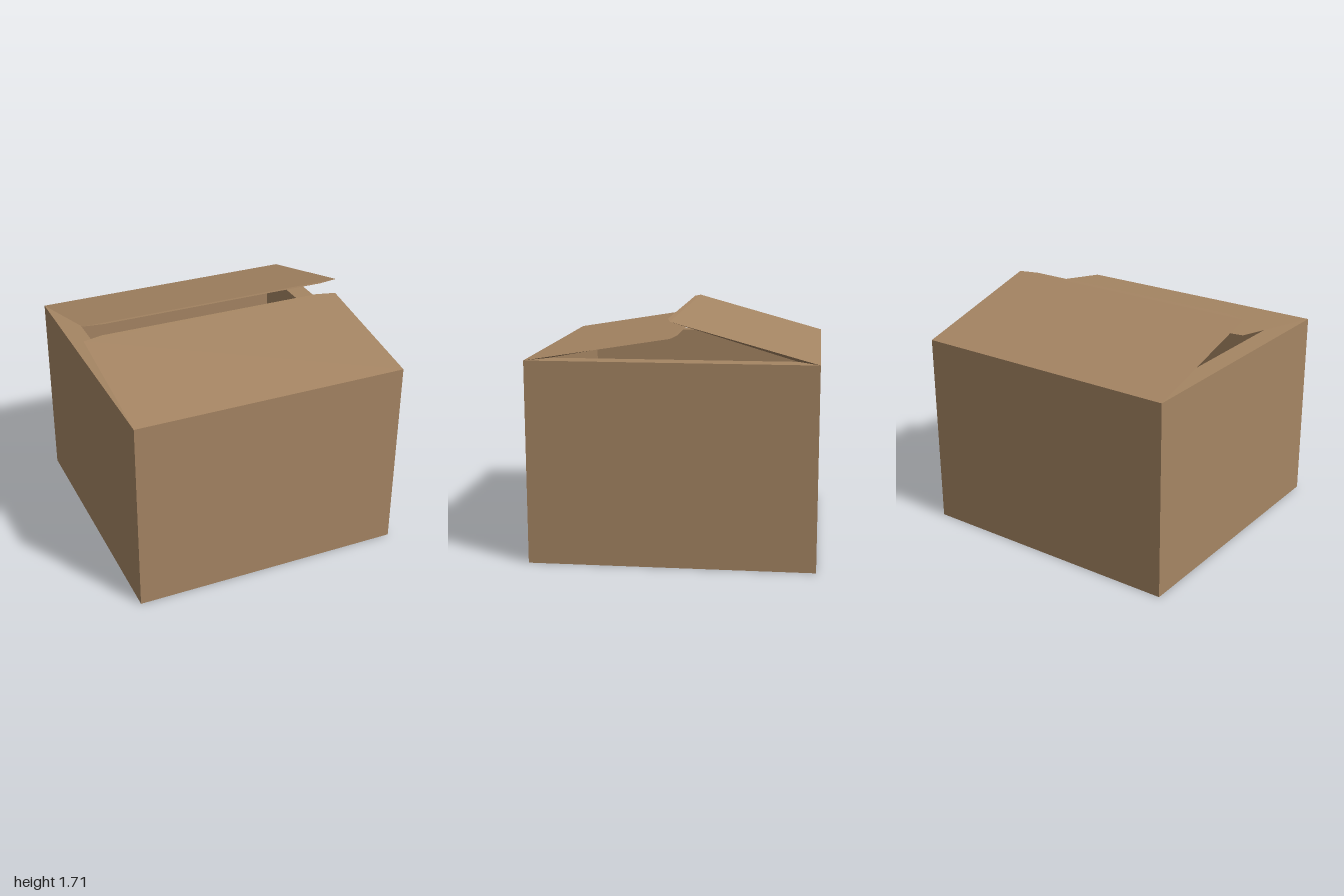
import * as THREE from 'three';

const H = 1.43;      // height of the walls
const INNER = 0.85;  // half width of the opening

// Wedge flap growing from the mitred rim of one wall; side is +1 front, -1 back
function flapGeometry(side, tipY) {
  const outline = [
    [1, H, 1], [INNER, H, INNER],                    // hinge: outer, inner
    [INNER, tipY, -0.03], [1, tipY - 0.004, 0],      // free edge: inner, outer
  ];
  const right = outline.map(([x, y, z]) => [x, y, z * side]);
  const left = right.map(([x, y, z]) => [-x, y, z]);
  const positions = [];
  const quad = (...p) => {
    const q = side > 0 ? p : [...p].reverse();
    for (const i of [0, 1, 2, 0, 2, 3]) positions.push(...q[i]);
  };
  quad(...right);            // right end
  quad(...left.reverse());   // left end
  left.reverse();
  for (let i = 0; i < 4; i++) {
    const j = (i + 1) % 4;
    quad(right[j], right[i], left[i], left[j]);
  }
  const geometry = new THREE.BufferGeometry();
  geometry.setAttribute('position', new THREE.Float32BufferAttribute(positions, 3));
  geometry.computeVertexNormals();
  return geometry;
}

function squarePath(PathType, r) {
  return new PathType([[-r, -r], [r, -r], [r, r], [-r, r]].map(([x, y]) => new THREE.Vector2(x, y)));
}

export function createModel() {
  const group = new THREE.Group();
  group.name = 'openBox';
  const cardboard = new THREE.MeshStandardMaterial({ color: 0xa58563, side: THREE.DoubleSide });
  cardboard.name = 'cardboard brown';

  const add = (name, geometry) => {
    const mesh = new THREE.Mesh(geometry, cardboard);
    mesh.name = name;
    group.add(mesh);
    return mesh;
  };

  // Four thick walls with a flat rim
  const wallShape = squarePath(THREE.Shape, 1);
  wallShape.holes.push(squarePath(THREE.Path, INNER));
  const walls = new THREE.ExtrudeGeometry(wallShape, { depth: H, bevelEnabled: false });
  walls.rotateX(-Math.PI / 2);
  add('walls', walls);

  // Floor filling the opening
  add('floor', new THREE.BoxGeometry(INNER * 2, 0.1, INNER * 2)).position.y = 0.05;

  // Half-open flaps
  add('frontFlap', flapGeometry(1, 1.595));
  add('backFlap', flapGeometry(-1, 1.71));

  return group;
}
